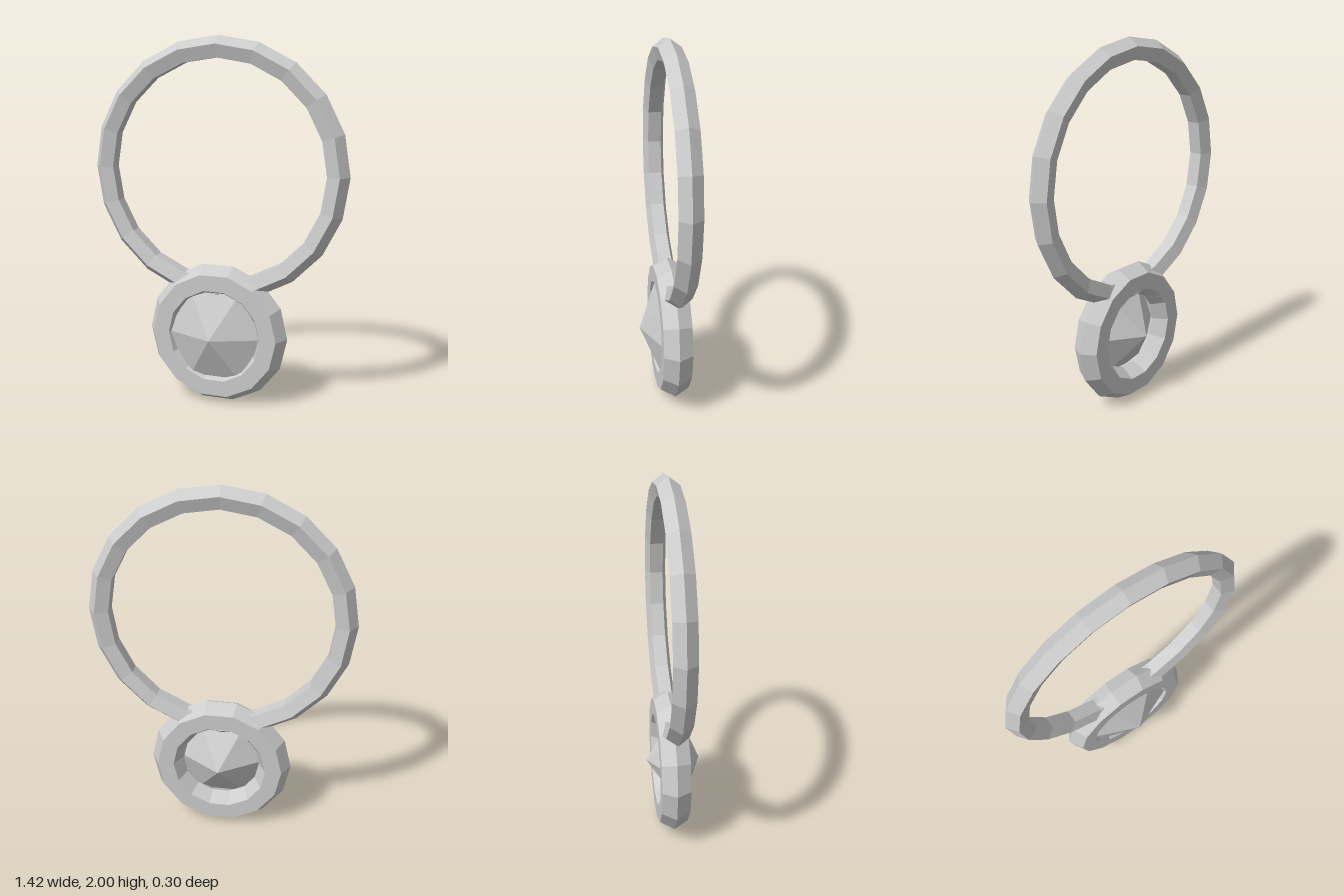
import * as THREE from 'three';

export function createModel() {
  const model = new THREE.Group();
  const metal = new THREE.MeshStandardMaterial({ color: 0xcccccc, flatShading: true });
  metal.name = 'light grey';

  function add(name, geometry, y, z) {
    const mesh = new THREE.Mesh(geometry, metal);
    mesh.name = name;
    mesh.position.set(0, y, z);
    model.add(mesh);
  }

  // Large hoop with a five-sided section, and the bezel hanging from it
  add('hoop', new THREE.TorusGeometry(0.647, 0.063, 5, 20), 1.29, -0.02);
  add('bezel', new THREE.TorusGeometry(0.305, 0.09, 6, 14), 0.388, -0.018);

  // Six-sided gem: a shallow point at the front, a deeper one at the back
  const girdleRadius = 0.276, girdleZ = 0.036, tipZ = 0.149;
  function gemHalf(name, side) {
    const height = tipZ - side * girdleZ;
    const cone = new THREE.ConeGeometry(girdleRadius, height, 6, 1, true);
    cone.rotateY(Math.PI / 2).rotateX(side * Math.PI / 2);
    add(name, cone, 0.39, girdleZ + side * height / 2);
  }
  gemHalf('gemFront', 1);
  gemHalf('gemBack', -1);

  return model;
}
